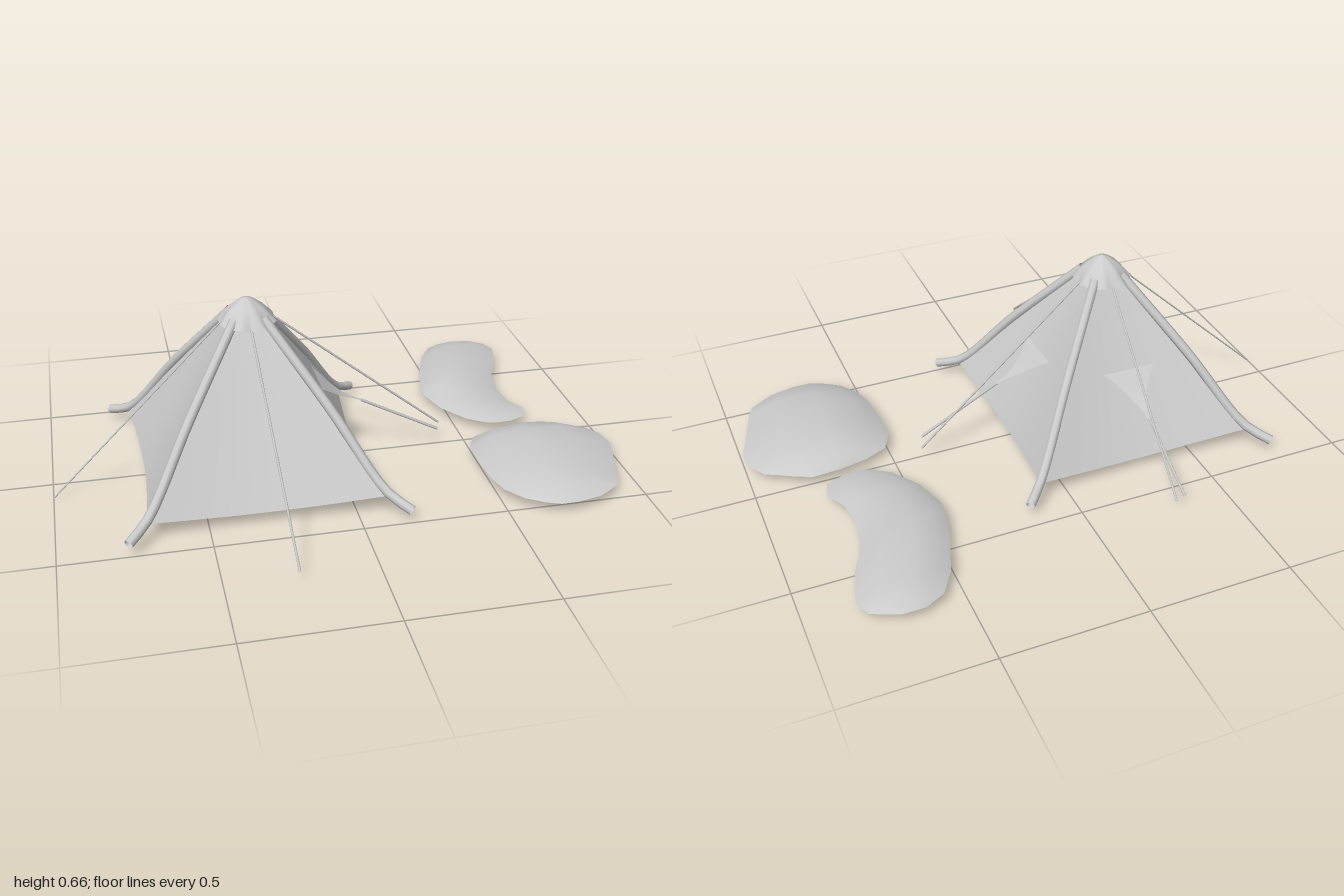
import * as THREE from 'three';

const material = new THREE.MeshStandardMaterial({ color: 0xcccccc, side: THREE.DoubleSide });
const V = (x, y, z) => new THREE.Vector3(x, y, z);
const lerp = THREE.MathUtils.lerp;
const CX = -0.302, CZ = 0.022; // tent axis

function mesh(name, geometry) {
  const m = new THREE.Mesh(geometry, material);
  m.name = name;
  return m;
}

// Surface through point(u, v), both from 0 to 1
function surface(point, nu, nv) {
  const pos = [], index = [];
  for (let j = 0; j <= nv; j++) {
    for (let i = 0; i <= nu; i++) pos.push(...point(i / nu, j / nv).toArray());
  }
  for (let j = 0; j < nv; j++) {
    for (let i = 0; i < nu; i++) {
      const a = j * (nu + 1) + i, b = a + nu + 1;
      index.push(a, b, a + 1, a + 1, b, b + 1);
    }
  }
  const g = new THREE.BufferGeometry();
  g.setAttribute('position', new THREE.Float32BufferAttribute(pos, 3));
  g.setIndex(index);
  g.computeVertexNormals();
  return g;
}

// Straight cord between two points
function rope(name, a, b, radius = 0.003) {
  return mesh(name, new THREE.TubeGeometry(new THREE.LineCurve3(a, b), 1, radius, 6));
}

// Sagging canvas panel, facing +z before it is turned
function wall() {
  return surface((u, v) => {
    const half = lerp(0.06, 0.405, v), sag = Math.sin(Math.PI * u) * v;
    return V(lerp(-half, half, u), lerp(0.59, 0.072, v) - 0.025 * sag, half - 0.025 * sag);
  }, 12, 8);
}

// Corner sleeve that flares out at the foot
function corner() {
  const path = new THREE.CatmullRomCurve3(
    [[0.05, 0.6], [0.238, 0.333], [0.395, 0.088], [0.468, 0.045]].map(([d, y]) => V(d, y, d)));
  return new THREE.TubeGeometry(path, 16, 0.017, 8);
}

// Lobed hood over the peak
function hood() {
  const rows = [[0, 0.664], [0.025, 0.655], [0.06, 0.627], [0.08, 0.603], [0.098, 0.578]];
  return surface((u, v) => {
    const [r, y] = rows[Math.round(v * 4)];
    const a = -u * Math.PI * 2, lobe = v * v * Math.cos(a * 8 + Math.PI);
    const rr = r * (1 + 0.06 * lobe);
    return V(Math.sin(a) * rr, y + 0.006 * lobe, Math.cos(a) * rr);
  }, 32, 4);
}

// Three-cornered awning with hollow sides, reaching along +z before it is turned
function awning() {
  const path = new THREE.CatmullRomCurve3([V(0, 0.333, 0.242), V(0, 0.265, 0.325), V(0, 0.228, 0.402)]);
  return surface((u, v) => {
    const half = 0.09 * (1 - v) ** 2 + 0.005;
    return path.getPoint(v).add(V(lerp(-half, half, u), 0, 0));
  }, 2, 10);
}

// Low mound lofted through stations: left x, z, right x, z, height
function mound(stations) {
  const across = [0, 0.16, 0.4, 0.72, 1], rise = [0, 0.65, 1, 0.85, 0];
  return surface((u, v) => {
    const [lx, lz, rx, rz, h] = stations[Math.round(v * (stations.length - 1))];
    const i = Math.round(u * 4), t = across[i];
    return V(lerp(lx, rx, t), 0.04 + h * rise[i], lerp(lz, rz, t));
  }, 4, stations.length - 1).rotateY(0);
}

export function createModel() {
  const model = new THREE.Group();

  // Canvas, corner sleeves and hood
  const tent = new THREE.Group();
  tent.name = 'tent';
  tent.position.set(CX, 0, CZ);
  ['front', 'left', 'back', 'right'].forEach((side, k) => {
    const panel = mesh(side + 'Wall', wall());
    const sleeve = mesh(side + 'CornerSleeve', corner());
    panel.rotation.y = sleeve.rotation.y = k * Math.PI / 2;
    tent.add(panel, sleeve);
  });
  tent.add(mesh('hood', hood()));

  // Window awnings on the left and back
  const leftAwning = mesh('leftAwning', awning());
  leftAwning.rotation.y = Math.PI / 2;
  const backAwning = mesh('backAwning', awning());
  backAwning.rotation.y = Math.PI;
  tent.add(leftAwning, backAwning);
  model.add(tent);

  // Guy ropes from the hood and awnings to the ground
  model.add(
    rope('frontRope', V(-0.3, 0.585, 0.1), V(-0.265, 0.045, 0.75), 0.004),
    rope('rightRope', V(-0.385, 0.585, 0.02), V(-0.998, 0.005, 0.09), 0.003),
    rope('leftRope', V(-0.21, 0.58, 0.01), V(0.41, 0.07, -0.037), 0.004),
    rope('backRope', V(-0.302, 0.585, -0.06), V(-0.3, 0.04, -0.61), 0.004),
    rope('leftAwningRope', V(0.1, 0.228, 0.022), V(0.39, 0.075, 0.02), 0.005),
    rope('backAwningRope', V(-0.305, 0.228, -0.378), V(-0.335, 0.045, -0.6), 0.005),
  );

  // Two low mounds beside the tent
  model.add(mesh('frontMound', mound([
    [0.70, -0.005, 0.80, -0.01, 0], [0.60, 0.015, 0.86, 0.02, 0.02],
    [0.52, 0.05, 0.95, 0.07, 0.04], [0.485, 0.12, 0.985, 0.12, 0.056],
    [0.482, 0.22, 0.997, 0.2, 0.058], [0.49, 0.34, 0.965, 0.3, 0.058],
    [0.51, 0.42, 0.925, 0.43, 0.043], [0.56, 0.49, 0.905, 0.475, 0.028],
    [0.62, 0.53, 0.82, 0.53, 0.01], [0.67, 0.55, 0.73, 0.55, 0],
  ])));
  model.add(mesh('backMound', mound([
    [0.64, -0.755, 0.72, -0.755, 0], [0.57, -0.72, 0.81, -0.715, 0.022],
    [0.52, -0.64, 0.835, -0.66, 0.04], [0.47, -0.5, 0.8, -0.53, 0.045],
    [0.44, -0.38, 0.75, -0.42, 0.05], [0.435, -0.31, 0.73, -0.3, 0.036],
    [0.47, -0.19, 0.74, -0.2, 0.026], [0.54, -0.09, 0.78, -0.13, 0.015],
    [0.6, -0.048, 0.765, -0.07, 0.005], [0.63, -0.037, 0.7, -0.04, 0],
  ])));
  return model;
}
